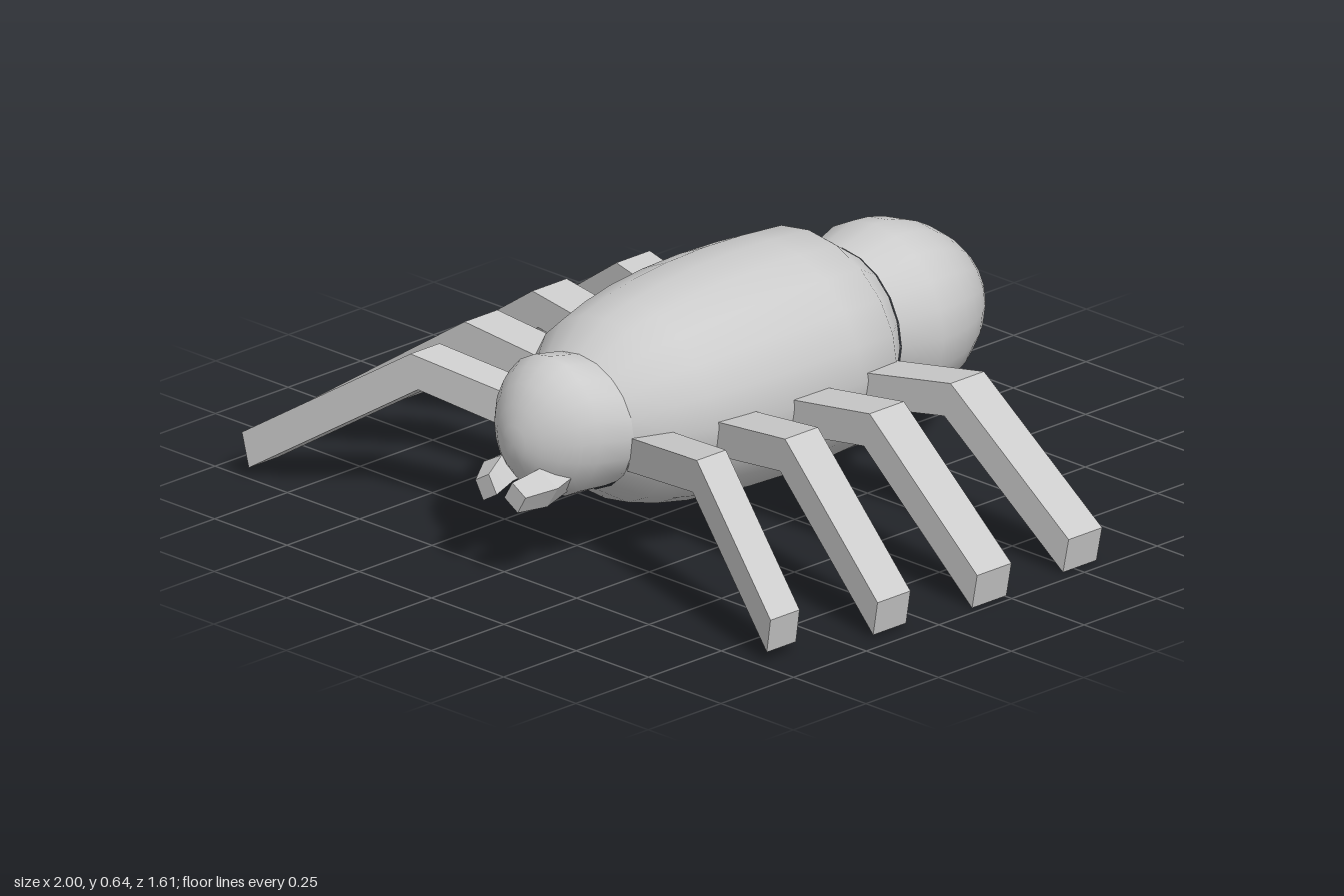
import * as THREE from 'three';
import { toCreasedNormals } from 'three/addons/utils/BufferGeometryUtils.js';

const material = new THREE.MeshStandardMaterial({ color: 0xcccccc });
const CX = 0.037; // centre line of the body

// Skin over elliptical rings [z, cx, cy, rx, ry], listed from back to front
function loft(rings, sides, crease, turn = 0) {
  const pos = [], index = [];
  for (const [z, cx, cy, rx, ry] of rings) {
    for (let j = 0; j < sides; j++) {
      const a = (j / sides) * Math.PI * 2 + Math.PI / 2 + turn;
      pos.push(cx + rx * Math.cos(a), cy + ry * Math.sin(a), z);
    }
  }
  for (let i = 0; i < rings.length - 1; i++) {
    for (let j = 0; j < sides; j++) {
      const k = (j + 1) % sides;
      const a = i * sides + j, b = i * sides + k, c = b + sides, d = a + sides;
      index.push(a, b, c, a, c, d);
    }
  }
  const g = new THREE.BufferGeometry();
  g.setAttribute('position', new THREE.Float32BufferAttribute(pos, 3));
  g.setIndex(index);
  return toCreasedNormals(g, crease);
}

// Bent leg: profile extruded along z, then swept from root to foot
function legGeometry(side, kneeX, footX, footY, rootZ, footZ, width) {
  const rootX = 0.14;
  const profile = new THREE.Shape([
    [rootX, 0.25], [kneeX - 0.02, 0.32], [footX - 0.018, footY],
    [footX, footY + 0.09], [kneeX, 0.41], [rootX, 0.34],
  ].map(([x, y]) => new THREE.Vector2(x, y)));
  const g = new THREE.ExtrudeGeometry(profile, { depth: width, bevelEnabled: false });
  g.translate(0, 0, -width / 2);
  if (side < 0) g.rotateY(Math.PI);
  const p = g.attributes.position;
  for (let i = 0; i < p.count; i++) {
    const t = (Math.abs(p.getX(i)) - 0.28) / (footX - 0.28);
    p.setZ(i, p.getZ(i) + rootZ + (footZ - rootZ) * t);
  }
  g.computeVertexNormals();
  return g;
}

export function createModel() {
  const model = new THREE.Group();
  const add = (name, geometry) => {
    const mesh = new THREE.Mesh(geometry, material);
    mesh.name = name;
    model.add(mesh);
  };

  // Abdomen: blunt cone with a rounded tip
  const abdomen = [];
  for (let i = 0; i <= 10; i++) {
    const a = (i / 10) * Math.PI / 2;
    const r = Math.pow(Math.sin(a), 1.3);
    abdomen.push([-0.48 - 0.325 * Math.cos(a), CX + 0.005, 0.351, 0.24 * r, 0.237 * r]);
  }
  abdomen.push([-0.37, CX + 0.005, 0.351, 0.205, 0.204]);
  add('abdomen', loft(abdomen, 20, 1));

  // Thorax: long barrel with tapered ends
  add('thorax', loft([
    [-0.37, 0.351, 0.205, 0.204], [-0.26, 0.351, 0.306, 0.28], [-0.13, 0.352, 0.314, 0.289],
    [0, 0.352, 0.317, 0.293], [0.13, 0.352, 0.313, 0.289], [0.25, 0.353, 0.3, 0.277],
    [0.35, 0.354, 0.28, 0.259], [0.44, 0.356, 0.255, 0.235], [0.53, 0.35, 0.19, 0.172],
  ].map(([z, y, rx, ry]) => [z, CX, y, rx, ry]), 20, 1));

  // Head
  add('head', loft([
    [0.5, 0.35, 0.19, 0.165], [0.55, 0.355, 0.187, 0.173], [0.63, 0.365, 0.172, 0.18],
    [0.67, 0.363, 0.15, 0.16], [0.705, 0.36, 0.117, 0.133], [0.735, 0.355, 0.077, 0.09],
    [0.752, 0.35, 0.038, 0.045], [0.758, 0.35, 0, 0],
  ].map(([z, y, rx, ry]) => [z, CX, y, rx, ry]), 20, 1));

  // Fangs: square hooks bending inwards
  for (const s of [1, -1]) {
    add(s > 0 ? 'leftFang' : 'rightFang', loft([
      [0.6, CX + s * 0.06, 0.27, 0.045, 0.045], [0.73, CX + s * 0.078, 0.25, 0.052, 0.048],
      [0.8, CX + s * 0.05, 0.235, 0.038, 0.038], [0.8, CX + s * 0.05, 0.235, 0, 0],
    ], 4, 0.3, s * 0.25));
  }

  // Legs: kneeX, footX, footY, rootZ, footZ, width
  const legs = {
    left: [
      [0.54, 0.9, 0.03, 0.5, 0.68, 0.1], [0.59, 0.968, 0.012, 0.268, 0.373, 0.113],
      [0.615, 0.995, 0.004, 0.04, 0.055, 0.118], [0.61, 0.985, 0.006, -0.206, -0.268, 0.115],
    ],
    right: [
      [0.46, 0.905, 0.03, 0.51, 0.702, 0.1], [0.52, 0.97, 0.015, 0.275, 0.385, 0.113],
      [0.55, 1, 0.01, 0.042, 0.058, 0.118], [0.54, 0.99, 0.01, -0.205, -0.272, 0.115],
    ],
  };
  for (const [name, rows] of Object.entries(legs)) {
    rows.forEach((row, i) => add(`${name}Leg${i + 1}`, legGeometry(name === 'left' ? 1 : -1, ...row)));
  }
  return model;
}
